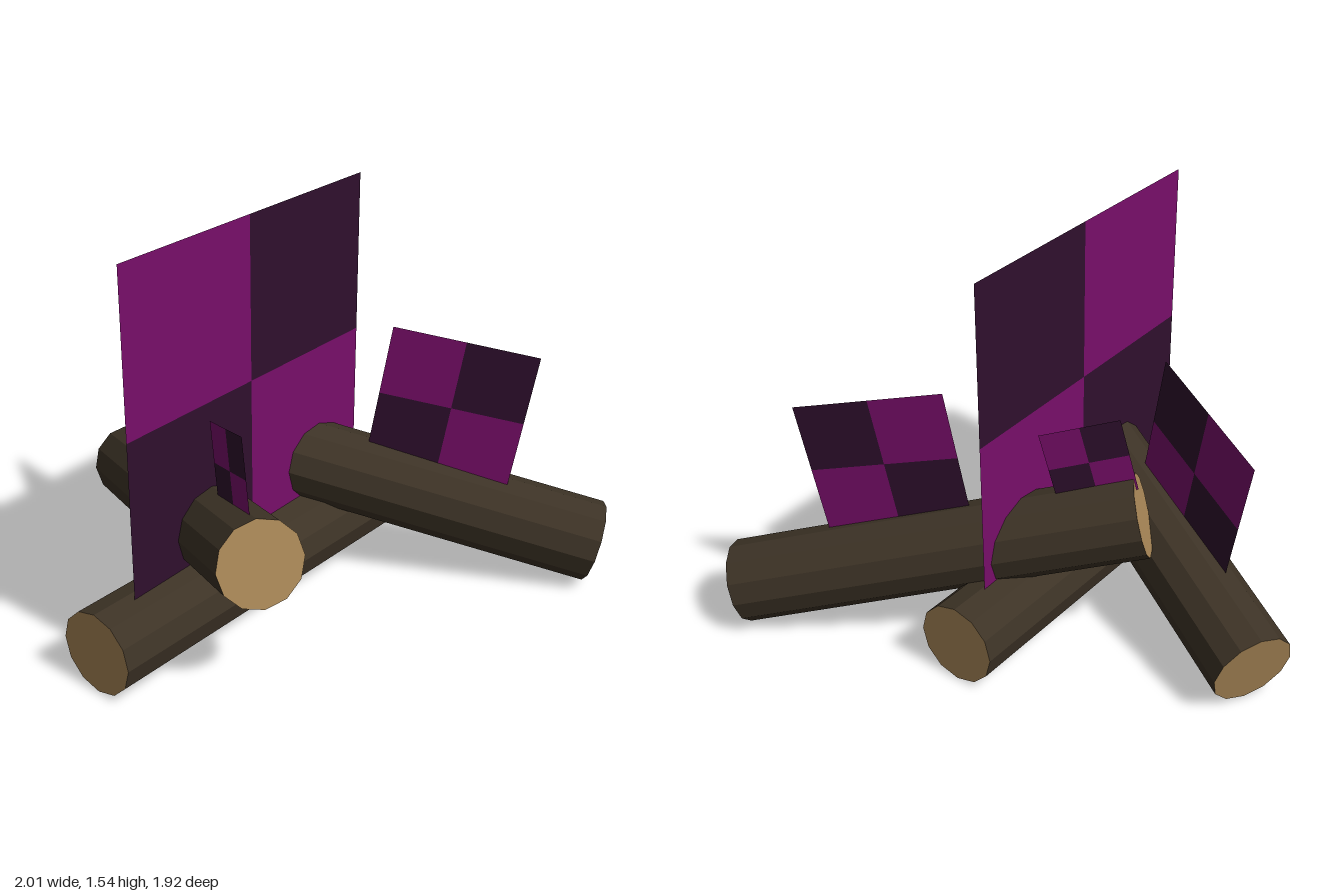
import * as THREE from 'three';

const flat = (name, color, extra = {}) => {
  const m = new THREE.MeshStandardMaterial({ color, ...extra });
  m.name = name;
  return m;
};

export function createModel() {
  const bark = flat('dark bark', 0x3d3326, { flatShading: true });
  const cutWood = flat('cut wood', 0xaa8858, { flatShading: true });
  const magenta = flat('magenta', 0x780e6a, { side: THREE.DoubleSide });
  const plum = flat('dark plum', 0x2f0f2d, { side: THREE.DoubleSide });

  const model = new THREE.Group();
  model.name = 'logPile';
  const vec = (a) => new THREE.Vector3(...a);

  // A faceted log running between two end centres
  function addLog(name, from, to) {
    const a = vec(from), b = vec(to);
    const geometry = new THREE.CylinderGeometry(0.16, 0.16, a.distanceTo(b), 12);
    geometry.rotateX(Math.PI / 2);
    const log = new THREE.Mesh(geometry, [bark, cutWood, cutWood]);
    log.name = name;
    log.position.addVectors(a, b).multiplyScalar(0.5);
    log.lookAt(b);
    model.add(log);
  }

  // A thin 2 x 2 checkered sheet; across runs along its top edge
  function addPanel(name, center, across, up, width, height, flip = false) {
    const geometry = new THREE.PlaneGeometry(width, height, 2, 2);
    const pattern = flip ? [1, 0, 0, 1] : [0, 1, 1, 0];
    pattern.forEach((material, i) => geometry.addGroup(i * 6, 6, material));
    const panel = new THREE.Mesh(geometry, [magenta, plum]);
    panel.name = name;
    const x = vec(across).normalize();
    const z = new THREE.Vector3().crossVectors(x, vec(up)).normalize();
    const y = new THREE.Vector3().crossVectors(z, x);
    panel.quaternion.setFromRotationMatrix(new THREE.Matrix4().makeBasis(x, y, z));
    panel.position.copy(vec(center));
    model.add(panel);
  }

  // Base log and the two logs leaning on it
  addLog('baseLog', [0.005, 0.16, -0.63], [0.005, 0.16, 0.955]);
  addLog('frontLeaningLog', [-0.925, 0.157, -0.095], [0.45, 0.538, 0.6]);
  addLog('backLeaningLog', [-0.375, 0.54, 0], [0.915, 0.157, -0.83]);

  // Sheets standing upright along the logs
  addPanel('basePanel', [0.015, 0.92, 0.16], [-0.031, 0, -1], [0, 1, 0], 1.265, 1.25);
  addPanel('frontLargePanel', [-0.48, 0.675, 0.172], [0.88, 0.235, 0.41], [-0.215, 0.97, -0.109], 0.6, 0.6);
  addPanel('frontSmallPanel', [0.21, 0.756, 0.488], [0.88, 0.25, 0.41], [-0.215, 0.97, -0.109], 0.3, 0.3);
  addPanel('backLargePanel', [0.439, 0.703, -0.498], [0.47, -0.088, -0.285], [0.064, 0.535, -0.06], 0.557, 0.55);
  addPanel('backSmallPanel', [-0.207, 0.76, -0.11], [0.8, -0.24, -0.55], [0.18, 0.97, -0.13], 0.3, 0.3, true);

  return model;
}
